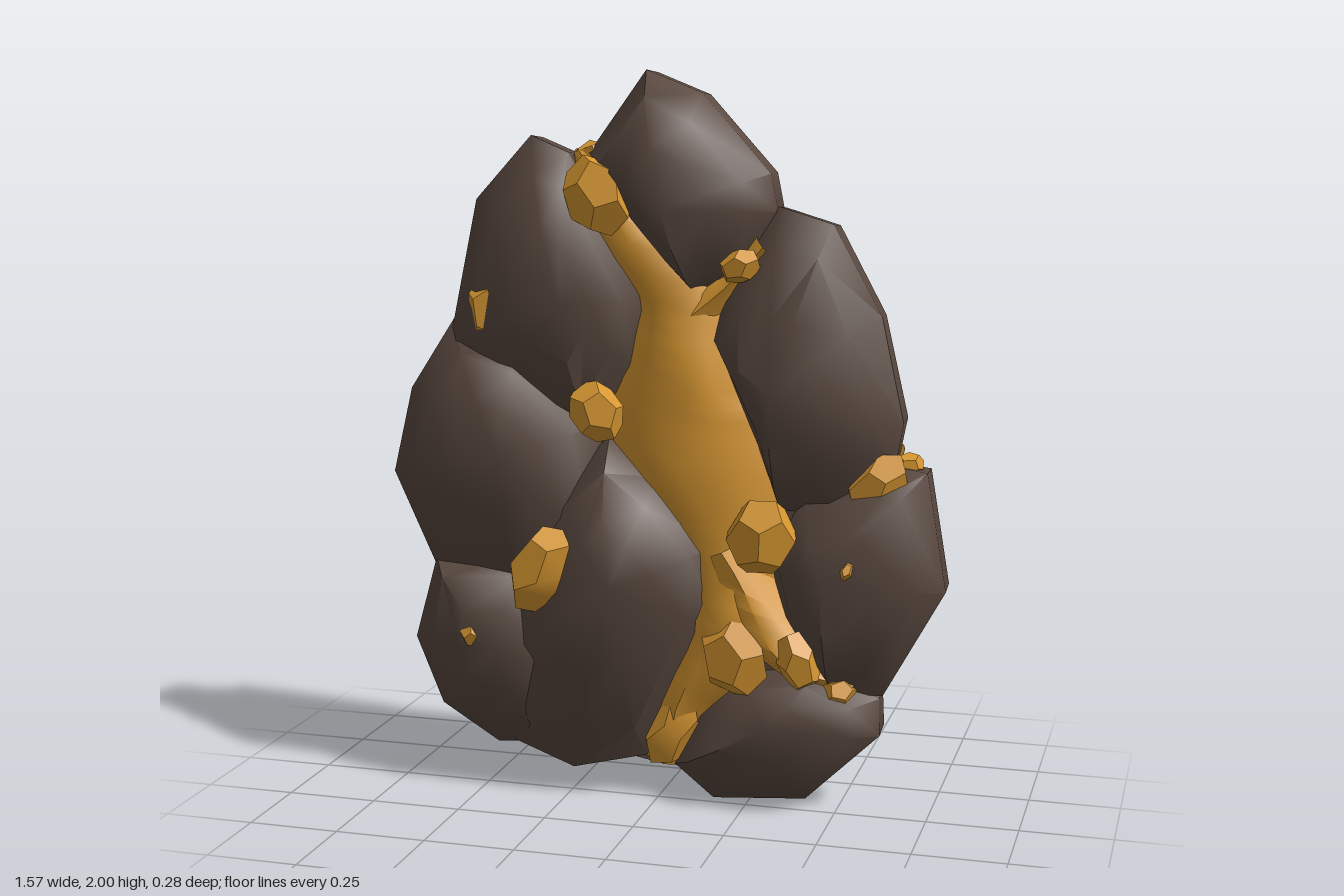
import * as THREE from 'three';
import { toCreasedNormals } from 'three/addons/utils/BufferGeometryUtils.js';

const BACK = -0.138;

// Closed rings of 3D points joined into a surface
function loft(rings, crease) {
  const n = rings[0].length, idx = [];
  for (let k = 0; k < rings.length - 1; k++) {
    for (let i = 0; i < n; i++) {
      const j = (i + 1) % n, a = k * n + i, b = k * n + j;
      idx.push(a, b, b + n, a, b + n, a + n);
    }
  }
  const g = new THREE.BufferGeometry();
  g.setAttribute('position', new THREE.Float32BufferAttribute(rings.flat(2), 3));
  g.setIndex(idx);
  return toCreasedNormals(g, crease);
}

// Flat-backed boulder from a clockwise outline: vertical rim, long slope, low dome around a peak
function boulderGeometry(px, py, depth, outline) {
  const levels = [[0, BACK], [0.98, BACK], [1, -0.035], [0.77, depth * 0.36], [0.42, depth * 0.86], [0, depth]];
  const rings = levels.map(([s, z], k) => outline.toReversed().map(([x, y], i) => {
    const wobble = k > 1 && k < 5 ? Math.sin(i * 2.7 + k * 0.6 + px * 9) : 0;
    const t = k > 2 ? s * (1 + 0.05 * wobble) : s;
    return [px + (x - px) * t, py + (y - py) * t, z + 0.008 * wobble];
  }));
  return loft(rings, 0.9);
}

// Ridged vein with a flat back set slightly aside, through [x, y, halfWidth, height] stations
function veinGeometry(path) {
  const line = new THREE.CatmullRomCurve3(path.map(([x, y]) => new THREE.Vector3(x, y, 0)));
  const size = new THREE.CatmullRomCurve3(path.map(([, , w, z]) => new THREE.Vector3(w, z, 0)));
  const steps = (path.length - 1) * 3;
  const rings = Array.from({ length: steps + 1 }, (_, k) => {
    const p = line.getPoint(k / steps), d = line.getTangent(k / steps);
    const { x: w, y: z } = size.getPoint(k / steps);
    const lean = 0.2 * Math.sin(k * 0.8);
    return [[-0.8, -0.141], [-1, -0.04], [-0.55, z - 0.02], [lean, z], [0.55, z - 0.025], [1, -0.04], [0.8, -0.141]]
      .map(([u, h]) => [p.x - d.y * u * w - (h < BACK ? 0.04 : 0), p.y + d.x * u * w, h]);
  });
  return loft(rings, 0.9);
}

// Flat elliptical slab standing upright
function slab(x, y, w, h, turn, z0, z1) {
  const shape = new THREE.Shape().absellipse(x, y, w, h, 0, Math.PI * 2, false, turn);
  return new THREE.ExtrudeGeometry(shape, { depth: z1 - z0, bevelEnabled: false }).translate(0, 0, z0);
}

export function createModel() {
  const group = new THREE.Group();
  const rock = new THREE.MeshStandardMaterial({ color: 0x59483f });
  rock.name = 'brown rock';
  const gold = new THREE.MeshStandardMaterial({ color: 0xd79731, side: THREE.DoubleSide });
  gold.name = 'gold ore';
  const add = (name, geometry, material) => {
    const mesh = new THREE.Mesh(geometry, material);
    mesh.name = name;
    group.add(mesh);
  };
  const boulder = (name, x, y, depth, ...outline) => add(name, boulderGeometry(x, y, depth, outline), rock);
  const vein = (name, ...path) => add(name, veinGeometry(path), gold);
  const nugget = (name, x, y, z, w, h, turn) => {
    const g = new THREE.DodecahedronGeometry(1).rotateX(x * 7).rotateY(y * 9);
    g.scale(w, h, 0.03 + w * 0.3).rotateZ(turn).translate(x, y, z);
    add(name, toCreasedNormals(g, 0.6), gold);
  };
  const patch = (name, x, y, w, h, turn) => add(name, slab(x, y, w, h, turn, -0.141, -0.136), gold);

  // Backing stone that fills the gaps
  add('backingStone', slab(0, 0.9, 0.6, 0.82, 0, BACK, -0.05), rock);

  // Boulders: peak, depth, outline
  boulder('topBoulder', 0.03, 1.64, 0.098,
    [-0.04, 2], [0.11, 1.94], [0.3, 1.73], [0.32, 1.63], [0.2, 1.43], [0.1, 1.4], [-0.1, 1.6], [-0.2, 1.78]);
  boulder('upperLeftBoulder', -0.25, 1.38, 0.1,
    [-0.37, 1.825], [-0.26, 1.78], [-0.05, 1.4], [-0.08, 1.2], [-0.2, 1.03], [-0.45, 1.1], [-0.61, 1.25], [-0.53, 1.65]);
  boulder('middleLeftBoulder', -0.42, 0.97, 0.125,
    [-0.6, 1.32], [-0.4, 1.24], [-0.17, 1.04], [-0.2, 0.72], [-0.4, 0.54], [-0.66, 0.61], [-0.785, 0.88], [-0.73, 1.12]);
  boulder('lowerCentreBoulder', -0.1, 0.62, 0.143,
    [-0.15, 1.01], [0, 0.9], [0.15, 0.72], [0.16, 0.5], [-0.04, 0.11], [-0.26, 0.05], [-0.43, 0.12], [-0.52, 0.32],
    [-0.46, 0.6], [-0.29, 0.87]);
  boulder('lowerLeftBoulder', -0.44, 0.42, 0.1,
    [-0.66, 0.64], [-0.38, 0.68], [-0.2, 0.35], [-0.35, 0.12], [-0.48, 0.11], [-0.65, 0.21], [-0.73, 0.4]);
  boulder('rightBoulder', 0.33, 1.16, 0.112,
    [0.32, 1.645], [0.47, 1.6], [0.6, 1.36], [0.665, 1.08], [0.64, 0.95], [0.5, 0.82], [0.33, 0.83], [0.27, 1],
    [0.14, 1.3], [0.19, 1.46]);
  boulder('lowerRightBoulder', 0.47, 0.67, 0.102,
    [0.66, 0.96], [0.73, 0.95], [0.785, 0.63], [0.62, 0.33], [0.48, 0.33], [0.34, 0.52], [0.31, 0.7], [0.4, 0.88]);
  boulder('bottomBoulder', 0.32, 0.25, 0.09,
    [0.24, 0.37], [0.45, 0.39], [0.61, 0.32], [0.615, 0.22], [0.41, 0.02], [0.15, 0], [0.04, 0.09], [0.11, 0.24]);

  // Gold vein and its side branches
  vein('mainVein', [-0.19, 1.8, 0.06, -0.02], [-0.13, 1.62, 0.085, 0.03], [0.05, 1.4, 0.12, 0.03], [0.06, 1.22, 0.16, 0.05],
    [0.06, 1.04, 0.21, 0.04], [0.17, 0.82, 0.18, 0.03], [0.2, 0.62, 0.12, 0.04], [0.18, 0.45, 0.12, 0.04],
    [0.05, 0.26, 0.075, 0.02], [0.005, 0.09, 0.065, -0.02]);
  vein('lowerBranch', [0.19, 0.72, 0.07, 0.05], [0.27, 0.55, 0.09, 0.05], [0.38, 0.43, 0.075, 0.05], [0.54, 0.35, 0.04, 0]);
  vein('upperBranch', [0.29, 1.54, 0.045, 0.02], [0.18, 1.43, 0.045, 0.02], [0.06, 1.3, 0.08, 0.02]);

  // Nuggets: x, y, z, half width, half height, turn
  nugget('upperNugget', -0.16, 1.67, 0.03, 0.095, 0.115, 0.4);
  nugget('topNugget', -0.2, 1.76, -0.07, 0.06, 0.055, 0.2);
  nugget('leftNugget', -0.47, 1.34, 0.02, 0.065, 0.105, 0.2);
  nugget('middleNugget', -0.16, 1.09, 0.05, 0.075, 0.09, 0.6);
  nugget('lowerLeftNugget', -0.31, 0.65, 0.085, 0.09, 0.135, -0.5);
  nugget('smallLeftNugget', -0.52, 0.45, 0.065, 0.035, 0.04, 0);
  nugget('centreNugget', 0.3, 0.77, 0.05, 0.1, 0.11, -0.3);
  nugget('rightNugget', 0.6, 0.91, -0.015, 0.075, 0.11, -0.7);
  nugget('rightEdgeNugget', 0.67, 0.96, -0.08, 0.045, 0.035, 0.3);
  nugget('upperRightNugget', 0.23, 1.49, 0.02, 0.06, 0.045, 0.4);
  nugget('lowerNugget', 0.22, 0.43, 0.02, 0.1, 0.12, 0.2);
  nugget('branchNugget', 0.4, 0.43, 0.03, 0.06, 0.09, 0.3);
  nugget('branchEndNugget', 0.5, 0.34, -0.01, 0.055, 0.045, 0.2);
  nugget('bottomNugget', 0.03, 0.2, -0.03, 0.08, 0.13, -0.4);
  nugget('goldSpeck', 0.54, 0.7, 0.083, 0.018, 0.03, -0.4);

  // Ore patches flush with the flat back
  patch('backPatchUpper', -0.46, 1.34, 0.055, 0.1, 0);
  patch('backPatchMiddle', -0.15, 1.1, 0.1, 0.1, 0);
  patch('backPatchCentre', 0.25, 0.86, 0.075, 0.06, 0);
  patch('backPatchLower', -0.4, 0.61, 0.06, 0.135, -0.75);
  patch('backPatchSmall', -0.49, 0.43, 0.015, 0.025, 0);
  patch('backPatchRight', 0.57, 0.96, 0.09, 0.04, 0.5);
  patch('backPatchTiny', 0.55, 1.05, 0.035, 0.015, 0);
  return group;
}
